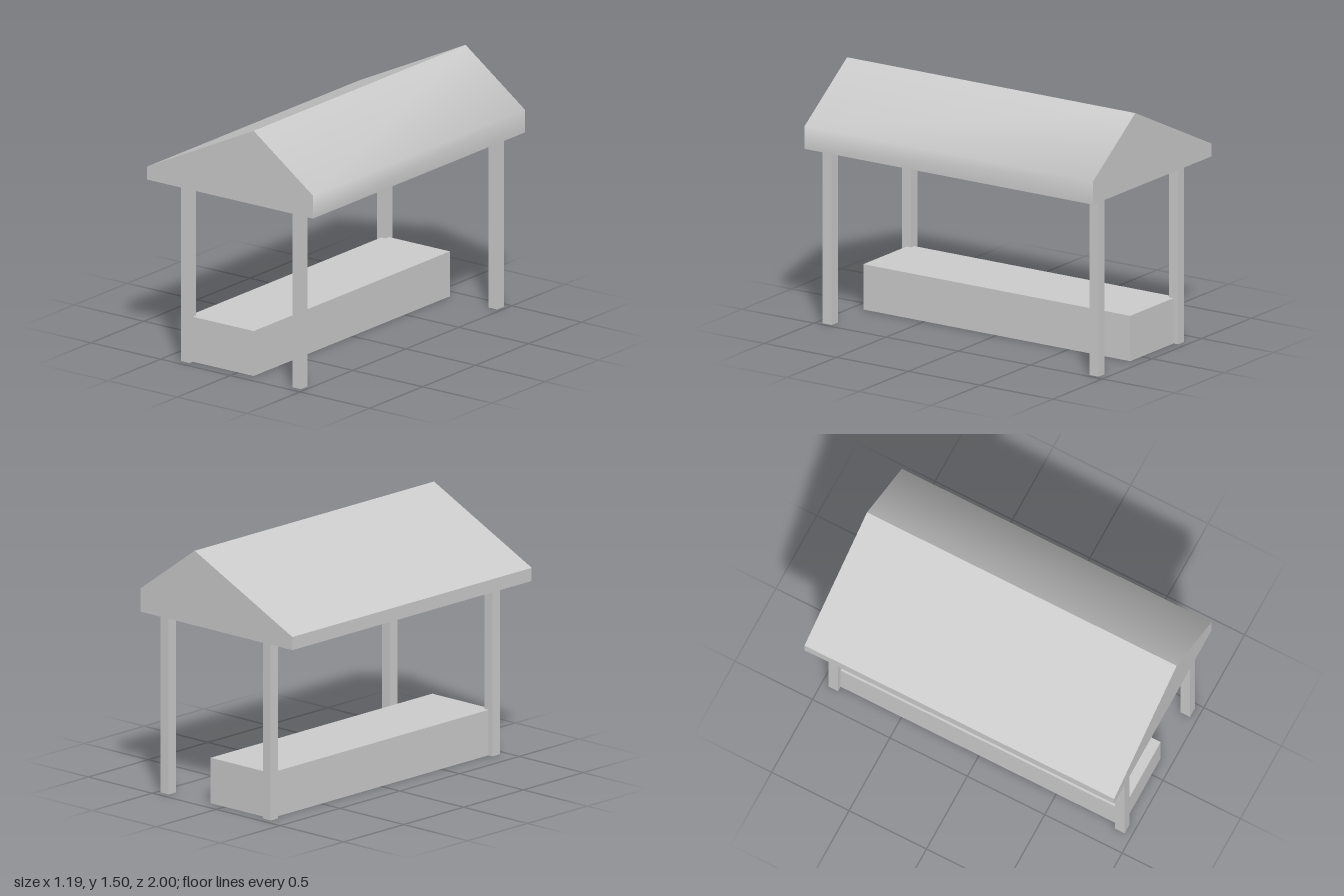
import * as THREE from 'three';
import { toCreasedNormals } from 'three/addons/utils/BufferGeometryUtils.js';

export function createModel() {
  const group = new THREE.Group();
  const material = new THREE.MeshStandardMaterial({ color: 0xcccccc });

  const add = (name, geometry, x, y, z) => {
    const mesh = new THREE.Mesh(geometry, material);
    mesh.name = name;
    mesh.position.set(x, y, z);
    group.add(mesh);
  };

  // Solid roof with an off-centre ridge; the steep slope blends softly into its eave
  const eaveY = 1.06;
  const gable = new THREE.Shape([
    new THREE.Vector2(-0.597, eaveY),
    new THREE.Vector2(0.594, eaveY),
    new THREE.Vector2(0.594, 1.197),
    new THREE.Vector2(0.168, 1.503),
    new THREE.Vector2(-0.597, 1.138),
  ]);
  const roof = new THREE.ExtrudeGeometry(gable, { depth: 2, bevelEnabled: false });
  add('roof', toCreasedNormals(roof, THREE.MathUtils.degToRad(58)), 0, 0, -1);

  // Four square posts
  const post = new THREE.BoxGeometry(0.062, eaveY, 0.062);
  for (const [side, x] of [['right', -0.356], ['left', 0.444]]) {
    for (const [end, z] of [['Front', 0.926], ['Back', -0.926]]) {
      add(`${side}${end}Post`, post, x, eaveY / 2, z);
    }
  }

  // Long bench running between the centres of the right-hand posts
  add('bench', new THREE.BoxGeometry(0.468, 0.27, 1.852), -0.122, 0.135, 0);

  return group;
}
